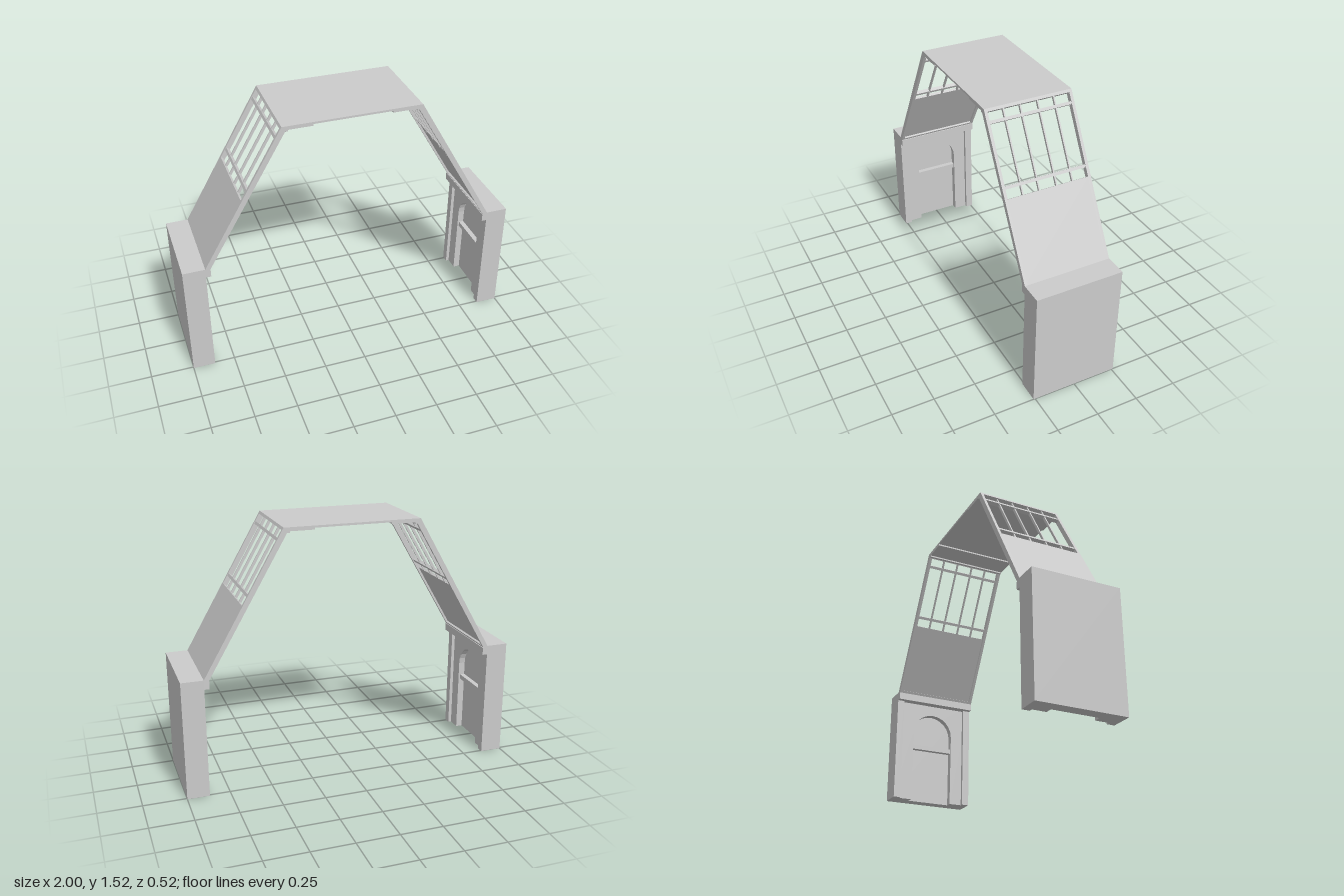
import * as THREE from 'three';

const HALF = 0.26; // half depth of the arch along z
const material = new THREE.MeshStandardMaterial({ color: 0xcccccc });

function add(group, name, geometry) {
  const mesh = new THREE.Mesh(geometry, material);
  mesh.name = name;
  group.add(mesh);
  return mesh;
}

// Prism: a polygon in the xy plane swept from z0 to z1
function prism(points, z0, z1) {
  const shape = new THREE.Shape(points.map(([x, y]) => new THREE.Vector2(x, y)));
  return new THREE.ExtrudeGeometry(shape, { depth: z1 - z0, bevelEnabled: false }).translate(0, 0, z0);
}

const block = (x0, x1, y0, y1, z0, z1) => prism([[x0, y0], [x1, y0], [x1, y1], [x0, y1]], z0, z1);

// Point on the sloped side: t runs up the slope, s from outer to inner face
function slopePoint(t, s) {
  const outer = [0.87 - 0.47 * t, 0.71 + 0.815 * t];
  const inner = [0.845 - 0.47 * t, 0.698 + 0.807 * t];
  return [0, 1].map(i => outer[i] + (inner[i] - outer[i]) * s);
}

function slopeBar(t0, t1, s0, s1, z0, z1) {
  return prism([slopePoint(t0, s0), slopePoint(t1, s0), slopePoint(t1, s1), slopePoint(t0, s1)], z0, z1);
}

function createWall() {
  const wall = new THREE.Group();
  wall.name = 'wall';
  add(wall, 'wallBack', block(0.93, 1, 0, 0.71, -HALF, HALF));

  // Inner facing with an arched niche open at the floor
  const r = 0.135, spring = 0.455;
  const face = new THREE.Shape();
  face.moveTo(-HALF, 0);
  face.lineTo(-r, 0);
  face.lineTo(-r, spring);
  face.absarc(0, spring, r, Math.PI, 0, true);
  face.lineTo(r, 0);
  face.lineTo(HALF, 0);
  face.lineTo(HALF, 0.71);
  face.lineTo(-HALF, 0.71);
  const facing = new THREE.ExtrudeGeometry(face, { depth: 0.04, bevelEnabled: false, curveSegments: 6 });
  add(wall, 'archedFacing', facing.rotateY(Math.PI / 2).translate(0.89, 0, 0));

  // Edge pilasters, niche rail and cornice
  add(wall, 'pilaster', block(0.87, 0.89, 0, 0.7, 0.215, HALF));
  add(wall, 'pilaster', block(0.87, 0.89, 0, 0.7, -HALF, -0.215));
  add(wall, 'nicheRail', block(0.9, 0.93, 0.345, 0.375, -r, r));
  add(wall, 'cornice', prism([[0.84, 0.655], [0.89, 0.655], [0.89, 0.71], [0.87, 0.71], [0.84, 0.7]], -HALF, HALF));
  return wall;
}

function createSlope() {
  const slope = new THREE.Group();
  slope.name = 'slopedSide';
  const inside = 0.243;
  // Frame
  add(slope, 'sideRail', slopeBar(0, 1, 0, 1, inside, HALF));
  add(slope, 'sideRail', slopeBar(0, 1, 0, 1, -HALF, -inside));
  add(slope, 'topRail', slopeBar(0.982, 1, 0, 1, -inside, inside));
  add(slope, 'bottomRail', slopeBar(0, 0.02, 0, 1, -inside, inside));
  // Solid lower panel, set back on the inner side
  add(slope, 'lowerPanel', slopeBar(0.02, 0.491, 0, 0.55, -inside, inside));
  // Window bars
  for (const t of [0.546, 0.914]) {
    add(slope, 'crossBar', slopeBar(t, t + 0.018, 0.1, 0.8, -inside, inside));
  }
  for (const z of [-0.15, -0.052, 0.052, 0.15]) {
    add(slope, 'windowBar', slopeBar(0.491, 0.982, 0.2, 0.7, z - 0.004, z + 0.004));
  }
  return slope;
}

export function createModel() {
  const model = new THREE.Group();
  model.name = 'archSection';

  // The two sides are the same, turned half a circle
  for (const angle of [0, Math.PI]) {
    const side = new THREE.Group();
    side.name = angle ? 'rightSide' : 'leftSide';
    side.add(createWall(), createSlope());
    add(side, 'ceilingPanel', block(0.225, 0.385, 1.503, 1.514, -HALF, HALF));
    add(side, 'ceilingLip', block(0.366, 0.38, 1.494, 1.504, -HALF, HALF));
    side.rotation.y = angle;
    model.add(side);
  }

  // Flat roof plate
  add(model, 'roof', prism([[-0.393, 1.513], [0.393, 1.513], [0.4, 1.525], [-0.4, 1.525]], -HALF, HALF));
  return model;
}
